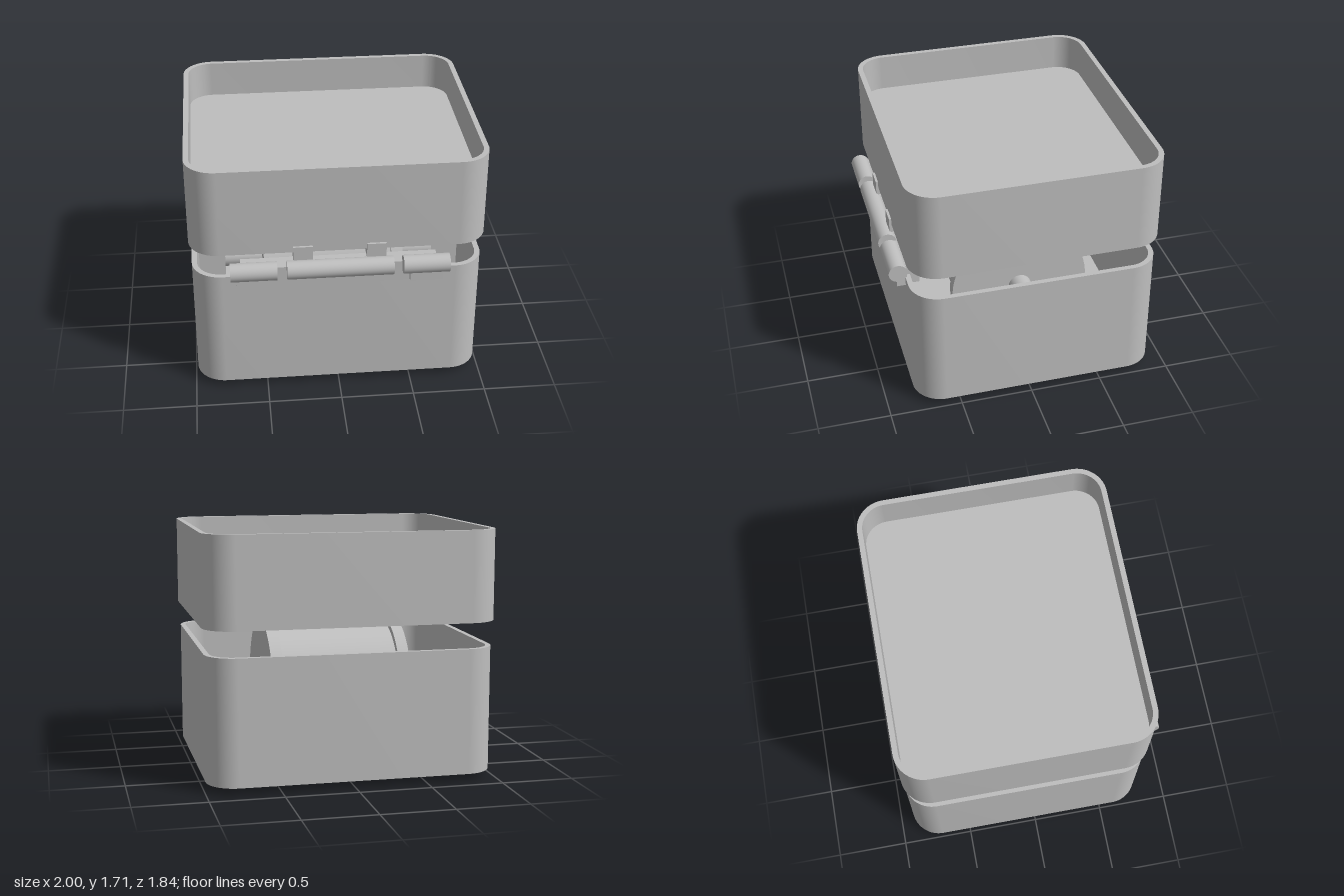
import * as THREE from 'three';
import { toCreasedNormals } from 'three/addons/utils/BufferGeometryUtils.js';

const grey = new THREE.MeshStandardMaterial({ color: 0xbebebe });
grey.name = 'plain grey';

const CENTRE_Z = -0.053;
const WALL = 0.036;

function roundedRect(target, w, d, r) {
  const x = w / 2, y = d / 2;
  target.moveTo(-x + r, -y);
  target.lineTo(x - r, -y);
  target.absarc(x - r, -y + r, r, -Math.PI / 2, 0);
  target.lineTo(x, y - r);
  target.absarc(x - r, y - r, r, 0, Math.PI / 2);
  target.lineTo(-x + r, y);
  target.absarc(-x + r, y - r, r, Math.PI / 2, Math.PI);
  target.lineTo(-x, -y + r);
  target.absarc(-x + r, -y + r, r, Math.PI, Math.PI * 1.5);
  return target;
}

export function createModel() {
  const model = new THREE.Group();
  model.name = 'dispenserBox';

  const add = (name, geometry) => {
    const mesh = new THREE.Mesh(geometry, grey);
    mesh.name = name;
    model.add(mesh);
    return mesh;
  };

  // Box given by its limits on each axis
  const box = (name, [x0, x1], [y0, y1], [z0, z1]) =>
    add(name, new THREE.BoxGeometry(x1 - x0, y1 - y0, z1 - z0))
      .position.set((x0 + x1) / 2, (y0 + y1) / 2, (z0 + z1) / 2);

  // Cylinder lying along x
  const rod = (name, x0, x1, r, y, z, sides = 48) => {
    const mesh = add(name, new THREE.CylinderGeometry(r, r, x1 - x0, sides));
    mesh.rotation.z = Math.PI / 2;
    mesh.position.set((x0 + x1) / 2, y, z);
  };

  // Upright rounded prism, hollow when wall > 0
  const prism = (name, w, d, r, y0, y1, wall = 0) => {
    const shape = roundedRect(new THREE.Shape(), w, d, r);
    if (wall) shape.holes.push(roundedRect(new THREE.Path(), w - 2 * wall, d - 2 * wall, r - wall));
    const g = new THREE.ExtrudeGeometry(shape, { depth: y1 - y0, bevelEnabled: false, curveSegments: 14 });
    g.rotateX(-Math.PI / 2);
    add(name, toCreasedNormals(g, 0.6)).position.set(0, y0, CENTRE_Z);
  };

  // Base tub with its floor and foot
  prism('baseWall', 1.97, 1.706, 0.2, 0.05, 0.913, WALL);
  prism('baseFloor', 1.96, 1.696, 0.195, 0.0505, 0.086);
  box('foot', [-0.62, 0.62], [0, 0.052], [0.4, 0.73]);

  // Raised lid with a recessed top panel
  prism('lidWall', 2, 1.73, 0.205, 1.09, 1.71, WALL);
  prism('lidPanel', 1.95, 1.68, 0.18, 1.42, 1.455);

  // Hinge barrels, mounting strip and leaves
  const hingeY = 0.98, hingeZ = 0.855;
  rod('middleBarrel', -0.355, 0.355, 0.063, hingeY, hingeZ);
  box('hingeStrip', [-0.66, 0.66], [0.84, 0.985], [0.7, 0.825]);

  // Spool: roll, axle, and mirrored flanges and supports
  const spoolY = 0.545, spoolZ = -0.05;
  rod('roll', -0.42, 0.42, 0.447, spoolY, spoolZ, 72);
  rod('axle', -0.84, 0.84, 0.08, spoolY, spoolZ, 32);

  for (const s of [-1, 1]) {
    const span = (a, b) => (s > 0 ? [a, b] : [-b, -a]);
    rod('outerBarrel', ...span(0.42, 0.73), 0.063, hingeY, hingeZ);
    box('lowerLeaf', span(0.47, 0.69), [0.85, 0.95], [0.79, 0.86]);
    box('upperLeaf', span(0.18, 0.31), [1.03, 1.135], [0.7, 0.828]);
    rod('flange', ...span(0.41, 0.49), 0.487, spoolY, spoolZ, 72);
    box('axleSupport', span(0.76, 0.955), [0.08, 0.63], [-0.13, 0.03]);
  }
  return model;
}
